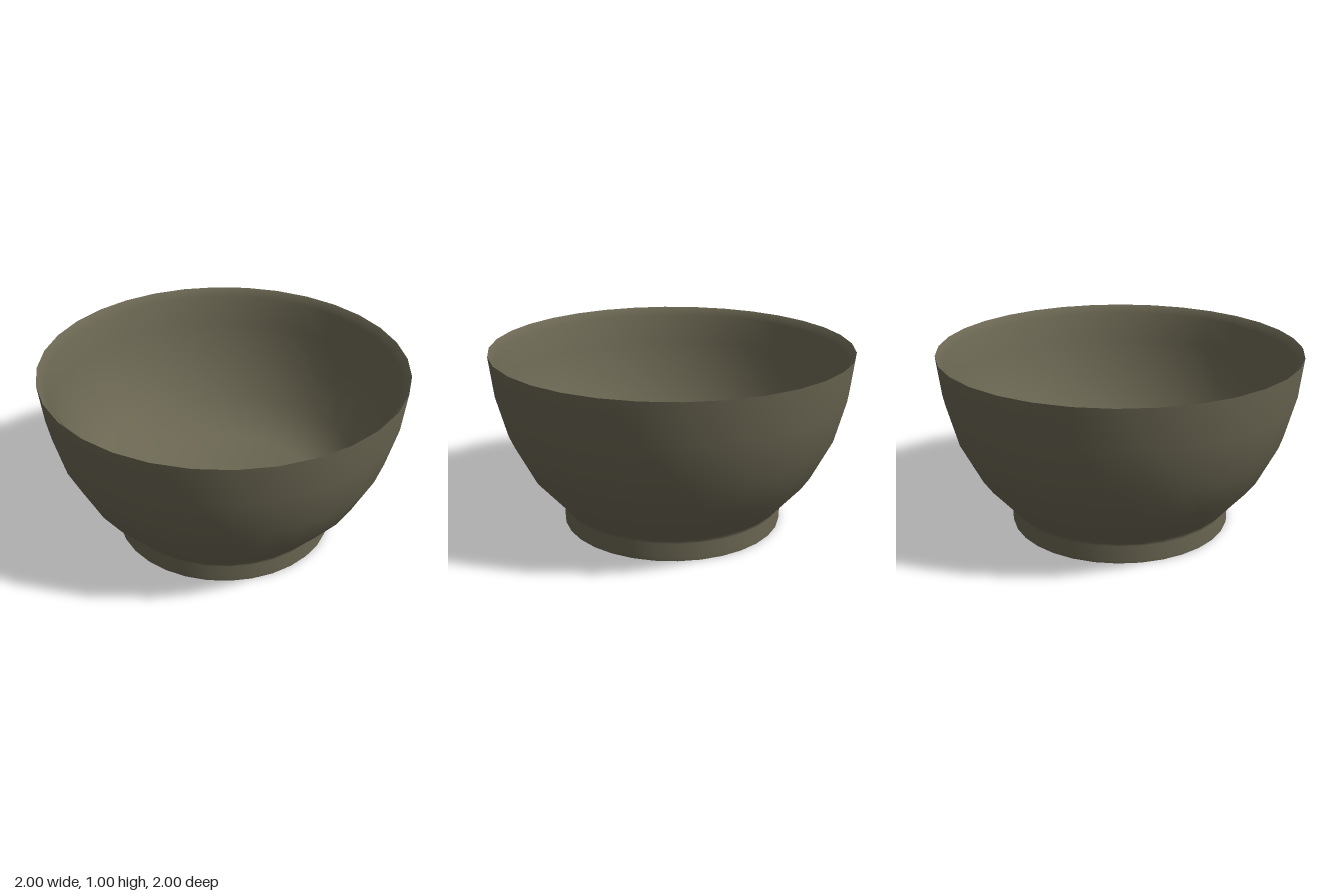
import * as THREE from 'three';

export function createModel() {
  const group = new THREE.Group();
  group.name = 'bowl';
  const clay = new THREE.MeshStandardMaterial({ color: 0x6b6753 });
  clay.name = 'olive clay';

  // Each profile is a smooth [radius, height] strip; strips meet at sharp edges.
  const turn = (name, profile) => {
    const points = profile.map(([r, y]) => new THREE.Vector2(r, y));
    const mesh = new THREE.Mesh(new THREE.LatheGeometry(points, 32), clay);
    mesh.name = name;
    group.add(mesh);
  };

  // Foot and outer wall run into each other with a tight bend
  turn('footAndOuterWall', [[0.62, 0], [0.622, 0.02], [0.622, 0.1], [0.622, 0.113], [0.635, 0.128],
    [0.8, 0.32], [0.915, 0.55], [0.975, 0.78], [1, 1]]);

  // Bevelled lip, thin wall and flat floor
  turn('lipAndInnerWall', [[1, 1], [0.96, 0.955], [0.935, 0.79], [0.875, 0.57], [0.765, 0.345],
    [0.59, 0.15], [0, 0.15]]);

  // Underside of the foot ring with its recess
  turn('footBase', [[0.565, 0], [0.62, 0]]);
  turn('footRecess', [[0, 0.11], [0.55, 0.11], [0.56, 0.06], [0.565, 0]]);

  return group;
}
